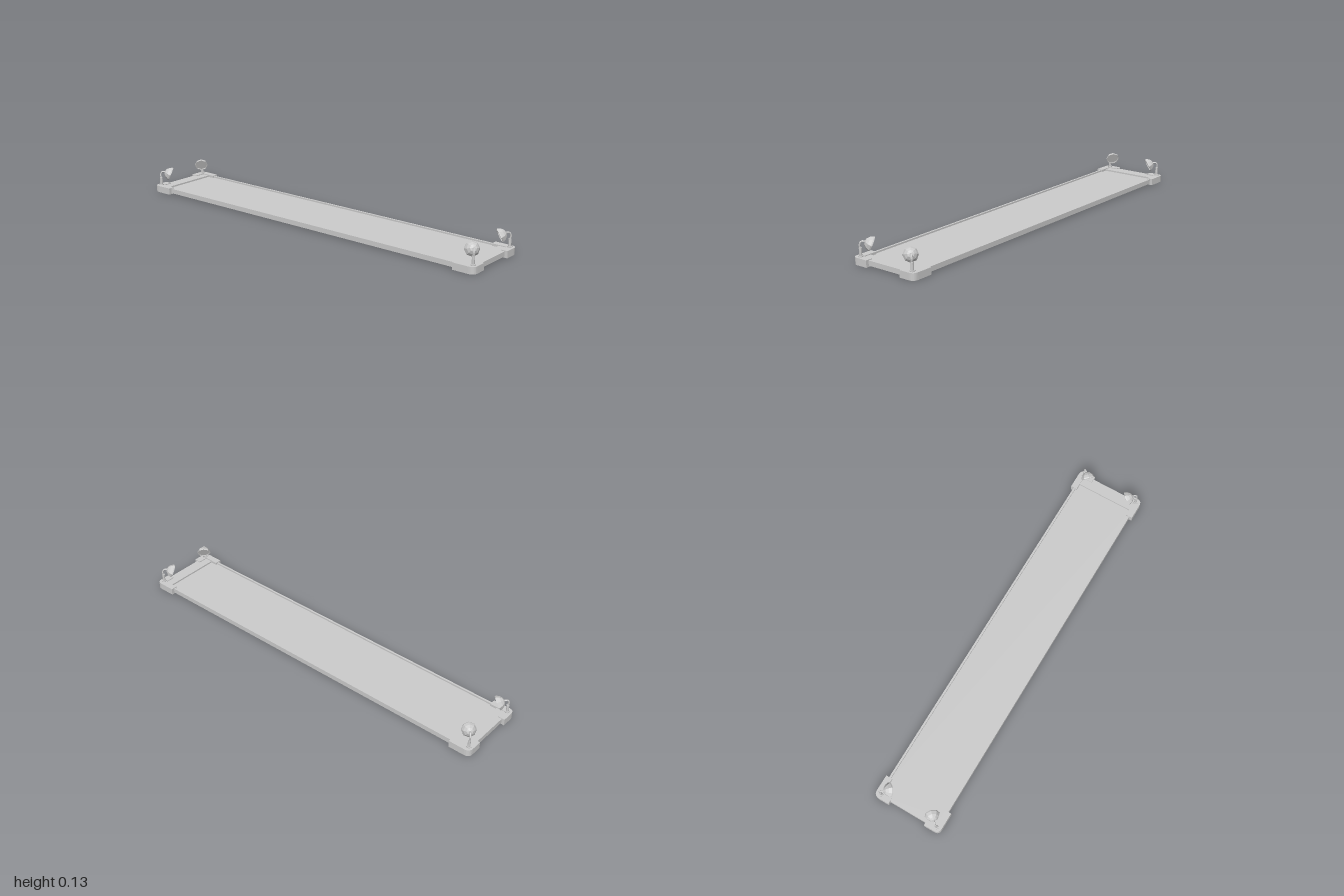
import * as THREE from 'three';

const mat = new THREE.MeshStandardMaterial({ color: 0xcccccc, flatShading: true, side: THREE.DoubleSide });

function add(parent, name, geometry, x = 0, y = 0, z = 0) {
  const mesh = new THREE.Mesh(geometry, mat);
  mesh.name = name;
  mesh.position.set(x, y, z);
  parent.add(mesh);
  return mesh;
}

// L-shaped corner clamp with a rounded outer corner
function clampGeometry(sx, sz) {
  const s = new THREE.Shape();
  const p = (x, z) => [sx * x, -sz * z];
  s.moveTo(...p(0.098, 1));
  s.lineTo(...p(0.152, 1));
  s.quadraticCurveTo(...p(0.18, 1), ...p(0.18, 0.972));
  s.lineTo(...p(0.18, 0.89));
  s.lineTo(...p(0.147, 0.89));
  s.lineTo(...p(0.147, 0.965));
  s.lineTo(...p(0.098, 0.965));
  s.closePath();
  return new THREE.ExtrudeGeometry(s, { depth: 0.034, bevelEnabled: false, curveSegments: 5 }).rotateX(-Math.PI / 2);
}

// Floodlight on a post, aimed inward and slightly down
function floodlight(sx, sz) {
  const g = new THREE.Group();
  g.name = 'floodlight';
  const px = sx * 0.153, pz = sz * 0.978;
  add(g, 'postBase', new THREE.CylinderGeometry(0.012, 0.012, 0.005, 8), px, 0.036, pz);
  add(g, 'post', new THREE.CylinderGeometry(0.007, 0.007, 0.042, 8), px, 0.055, pz);

  const back = new THREE.Vector3(sx * 0.64, 0.42, sz * 0.64).normalize();
  const rim = new THREE.Vector3(sx * 0.114, 0.091, sz * 0.945);
  const apex = rim.clone().addScaledVector(back, 0.032);
  const arm = new THREE.CatmullRomCurve3([
    new THREE.Vector3(px, 0.07, pz),
    new THREE.Vector3(sx * 0.154, 0.09, sz * 0.981),
    new THREE.Vector3(sx * 0.148, 0.104, sz * 0.976),
    apex,
  ]);
  add(g, 'arm', new THREE.TubeGeometry(arm, 8, 0.004, 6));

  // Eight-sided shade with a recessed lens
  const profile = [[0, 0.004], [0.03, 0.004], [0.031, 0], [0.035, 0], [0.035, 0.006],
    [0.028, 0.019], [0.016, 0.03], [0, 0.035]].map(([r, y]) => new THREE.Vector2(r, y));
  const shade = add(g, 'lampShade', new THREE.LatheGeometry(profile, 8), rim.x, rim.y, rim.z);
  shade.quaternion.setFromUnitVectors(new THREE.Vector3(0, 1, 0), back);
  return g;
}

export function createModel() {
  const model = new THREE.Group();
  model.name = 'floodlitPanel';

  // Recessed panel in a raised frame
  add(model, 'panel', new THREE.BoxGeometry(0.312, 0.016, 1.86), 0, 0.014, 0);
  for (const s of [1, -1]) {
    add(model, 'sideRail', new THREE.BoxGeometry(0.01, 0.024, 1.97), s * 0.16, 0.018, 0);
    add(model, 'endRail', new THREE.BoxGeometry(0.31, 0.024, 0.06), 0, 0.018, s * 0.955);
  }

  // Corner clamps and lights
  for (const sx of [1, -1]) {
    for (const sz of [1, -1]) {
      add(model, 'cornerClamp', clampGeometry(sx, sz));
      model.add(floodlight(sx, sz));
    }
  }
  return model;
}
